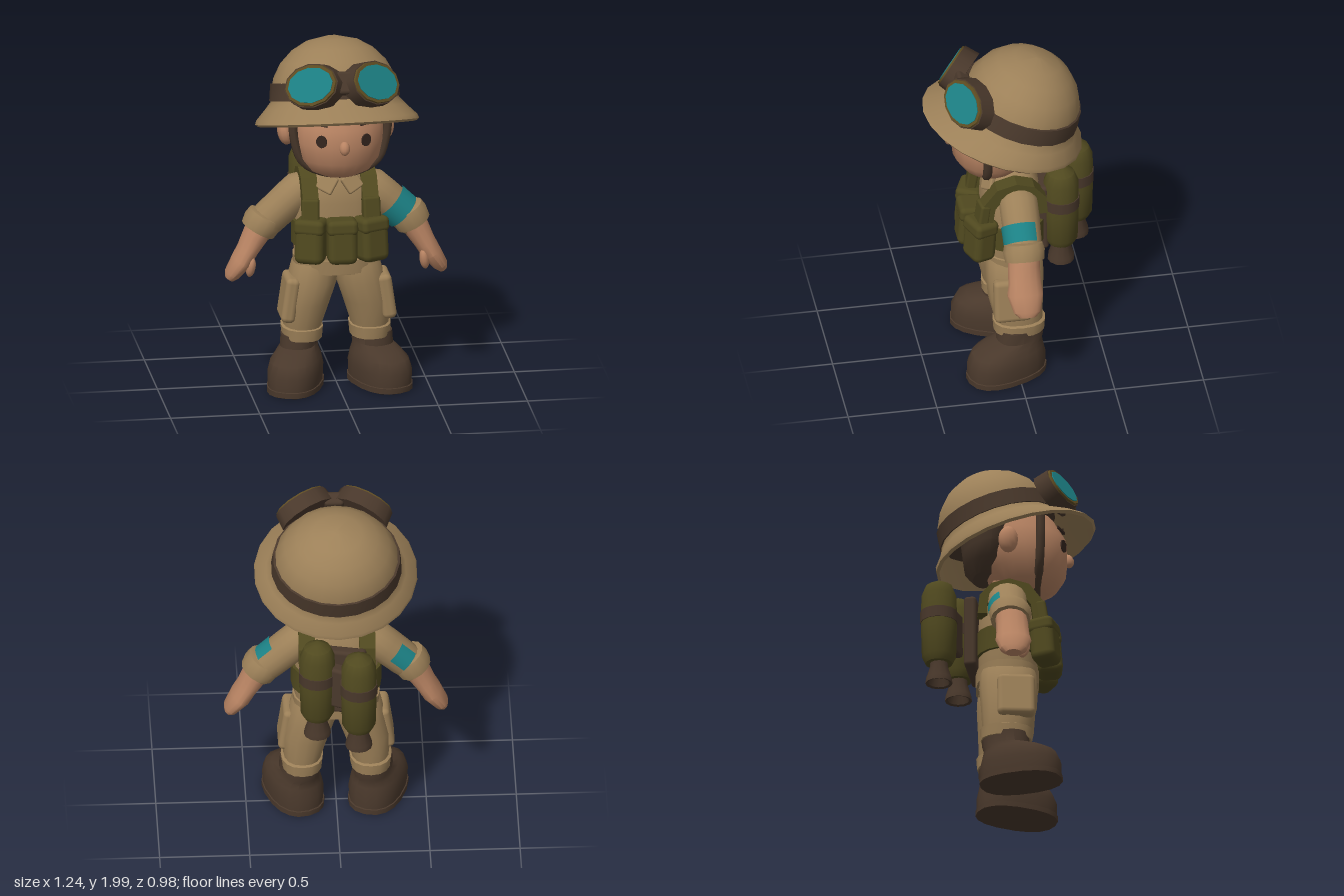
import * as THREE from 'three';
import { toCreasedNormals } from 'three/addons/utils/BufferGeometryUtils.js';
import { RoundedBoxGeometry } from 'three/addons/geometries/RoundedBoxGeometry.js';

const mat = (name, color) => {
  const m = new THREE.MeshStandardMaterial({ color });
  m.name = name;
  return m;
};

// Skin over elliptical rings [y, rx, rz, cx, cz]; p > 2 makes them squarer
function loft(rings, n = 16, p = 2) {
  const pos = [], idx = [];
  const pow = (v) => Math.sign(v) * Math.abs(v) ** (2 / p);
  for (const [y, rx, rz, cx = 0, cz = 0] of rings)
    for (let j = 0; j < n; j++) {
      const a = (j / n) * Math.PI * 2;
      pos.push(cx + rx * pow(Math.sin(a)), y, cz + rz * pow(Math.cos(a)));
    }
  for (let i = 0; i < rings.length - 1; i++)
    for (let j = 0; j < n; j++) {
      const a = i * n + j, b = i * n + ((j + 1) % n);
      idx.push(a, b, b + n, a, b + n, a + n);
    }
  // Close both ends
  const top = (rings.length - 1) * n;
  for (let j = 1; j < n - 1; j++) idx.push(0, j + 1, j, top, top + j, top + j + 1);
  const g = new THREE.BufferGeometry();
  g.setAttribute('position', new THREE.Float32BufferAttribute(pos, 3));
  g.setIndex(idx);
  return toCreasedNormals(g, 0.75);
}

export function createModel() {
  const cloth = mat('tan cloth', 0x9c8058), skin = mat('skin', 0xb98463);
  const olive = mat('olive canvas', 0x50491f), brown = mat('brown leather', 0x49382b);
  const teal = mat('teal', 0x1c8185), dark = mat('dark eye', 0x35261f);
  const rim = mat('goggle rim', 0x5f4c22);

  const model = new THREE.Group();
  model.name = 'explorer';
  const add = (parent, name, geo, material, p = [0, 0, 0], r = [0, 0, 0], s = [1, 1, 1]) => {
    const m = new THREE.Mesh(geo, material);
    m.name = name;
    m.position.set(...p);
    m.rotation.set(r[0], r[1], r[2], 'YXZ');
    m.scale.set(...s);
    parent.add(m);
  };
  const group = (name, p, r = [0, 0, 0]) => {
    const g = new THREE.Group();
    g.name = name;
    g.position.set(...p);
    g.rotation.set(r[0], r[1], r[2], 'YXZ');
    model.add(g);
    return g;
  };
  const rbox = (w, h, d, r) => new RoundedBoxGeometry(w, h, d, 2, r);
  const ball = new THREE.SphereGeometry(1, 12, 8);

  // Head, hair and face
  add(model, 'head', loft([[1.275, 0.1, 0.08, 0, 0.14], [1.31, 0.18, 0.165, 0, 0.115], [1.38, 0.235, 0.23, 0, 0.095],
    [1.48, 0.262, 0.26, 0, 0.075], [1.58, 0.262, 0.265, 0, 0.065], [1.7, 0.22, 0.22, 0, 0.04]], 20), skin);
  add(model, 'hair', loft([[1.36, 0.11, 0.06, 0, -0.13], [1.42, 0.2, 0.13, 0, -0.11], [1.5, 0.25, 0.15, 0, -0.1],
    [1.65, 0.27, 0.18, 0, -0.09], [1.72, 0.2, 0.14, 0, -0.08]]), brown);
  add(model, 'nose', ball, skin, [0, 1.485, 0.338], [-0.3, 0, 0], [0.03, 0.04, 0.032]);
  add(model, 'neck', new THREE.CylinderGeometry(0.1, 0.095, 0.2, 14), skin, [0, 1.3, 0.01]);
  for (const s of [1, -1]) {
    add(model, 'ear', ball, skin, [s * 0.285, 1.48, -0.01], [0, 0, s * -0.2], [0.042, 0.075, 0.055]);
    add(model, 'eye', new THREE.CylinderGeometry(1, 1, 0.008, 14).rotateX(Math.PI / 2), dark,
      [s * 0.125, 1.52, 0.306], [0, s * 0.5, 0], [0.032, 0.036, 1]);
    add(model, 'eyebrow', new THREE.BoxGeometry(0.085, 0.016, 0.009), dark,
      [s * 0.13, 1.615, 0.291], [-0.1, s * 0.5, s * 0.06]);
  }
  const strapPath = new THREE.CatmullRomCurve3([[-0.265, 1.66, 0.17], [-0.258, 1.5, 0.17], [-0.2, 1.35, 0.165],
    [0, 1.28, 0.16], [0.2, 1.35, 0.165], [0.258, 1.5, 0.17], [0.265, 1.66, 0.17]].map((v) => new THREE.Vector3(...v)));
  add(model, 'chinStrap', new THREE.TubeGeometry(strapPath, 28, 0.026, 7), brown);

  // Tilted helmet: inside first, then around the brim and up the dome
  const helmet = group('helmet', [0, 1.54, 0.05], [-0.307, 0, 0]);
  add(helmet, 'helmetShell', loft([[0.4, 0.1, 0.1, 0, -0.06], [0.15, 0.32, 0.31, 0, -0.06], [-0.005, 0.44, 0.45],
    [0.008, 0.455, 0.465], [0.03, 0.447, 0.45, 0, -0.01], [0.09, 0.39, 0.37, 0, -0.043],
    [0.13, 0.356, 0.337, 0, -0.056], [0.19, 0.349, 0.33, 0, -0.059], [0.26, 0.336, 0.316, 0, -0.06],
    [0.34, 0.294, 0.276, 0, -0.062], [0.41, 0.226, 0.213, 0, -0.064], [0.46, 0.14, 0.13, 0, -0.066],
    [0.485, 0.02, 0.02, 0, -0.066]], 22), cloth);
  add(helmet, 'goggleStrap', loft([[0.135, 0.34, 0.32, 0, -0.058], [0.135, 0.364, 0.344, 0, -0.058],
    [0.23, 0.354, 0.334, 0, -0.058], [0.235, 0.32, 0.3, 0, -0.058]], 22), brown);

  // Goggles lying against the dome
  const disc = (r0, r1, h) => new THREE.CylinderGeometry(r0, r1, h, 12).rotateX(Math.PI / 2);
  for (const s of [1, -1]) {
    const g = group('goggle', [s * 0.175, 1.843, 0.285], [-0.46, s * 0.56, s * -0.3]);
    add(g, 'goggleFrame', disc(1, 1.06, 0.09), brown, [0, 0, -0.03], [0, 0, 0], [0.16, 0.125, 1]);
    add(g, 'goggleRim', disc(1, 1.06, 0.028), rim, [0, 0, 0.012], [0, 0, 0], [0.15, 0.116, 1]);
    add(g, 'goggleLens', disc(1, 1, 0.009), teal, [0, 0, 0.026], [0, 0, 0], [0.133, 0.1, 1]);
  }
  add(model, 'goggleBridge', rbox(0.11, 0.13, 0.08, 0.02), brown, [0, 1.85, 0.285], [-0.46, 0, 0]);

  // Jacket
  add(model, 'jacket', loft([[0.68, 0.215, 0.16], [0.78, 0.235, 0.17], [0.95, 0.235, 0.17], [1.1, 0.235, 0.165],
    [1.19, 0.205, 0.15], [1.25, 0.14, 0.12], [1.29, 0.1, 0.09]], 20, 2.4), cloth);
  add(model, 'jacketHem', loft([[0.69, 0.2, 0.15], [0.69, 0.24, 0.175], [0.77, 0.243, 0.177], [0.785, 0.2, 0.15]], 20, 2.4), cloth);
  add(model, 'vestBelt', loft([[0.84, 0.2, 0.15], [0.84, 0.252, 0.187], [0.98, 0.252, 0.187], [0.98, 0.2, 0.15]], 20, 2.4), olive);

  // Shoulder strap outline, drawn from the side
  const outline = [[0.2, 0.98], [0.19, 1.14], [0.11, 1.245], [0, 1.275], [-0.1, 1.245], [-0.165, 1.17], [-0.175, 1.06],
    [-0.12, 1.06], [-0.12, 1.12], [-0.06, 1.19], [0, 1.21], [0.06, 1.19], [0.12, 1.12], [0.14, 0.98]];
  const strapShape = new THREE.Shape(outline.map((v) => new THREE.Vector2(...v)));
  const strapGeo = new THREE.ExtrudeGeometry(strapShape, { depth: 0.09, bevelEnabled: false })
    .translate(0, 0, -0.045).rotateY(-Math.PI / 2);
  for (const s of [1, -1]) {
    add(model, 'collarFlap', rbox(0.1, 0.1, 0.03, 0.01), cloth, [s * 0.07, 1.215, 0.135], [-0.45, s * 0.25, s * 0.45]);
    add(model, 'shoulderStrap', strapGeo, olive, [s * 0.168, 0, 0]);
    add(model, 'strapPocket', rbox(0.1, 0.13, 0.06, 0.015), olive, [s * 0.17, 1.08, 0.185], [-0.15, s * 0.15, 0]);
  }
  for (const s of [-1, 0, 1]) {
    const p = group('pouch', [s * 0.17, 0.905, s ? 0.2 : 0.23], [-0.08, s * 0.4, 0]);
    add(p, 'pouchBody', rbox(0.165, 0.25, 0.14, 0.04), olive);
    add(p, 'pouchFlap', rbox(0.172, 0.09, 0.146, 0.03), olive, [0, 0.085, 0.001]);
  }

  // Twin tanks on the back
  add(model, 'backPlate', rbox(0.32, 0.42, 0.07, 0.02), brown, [0, 0.98, -0.185], [0, -0.2, 0]);
  add(model, 'tankBracket', rbox(0.3, 0.26, 0.08, 0.02), brown, [0, 1.02, -0.3], [0, -0.45, 0]);
  for (const [x, z] of [[0.115, -0.265], [-0.11, -0.385]]) {
    const t = group('tank', [x, 0, z]);
    add(t, 'tankBody', loft([[0.79, 0.075, 0.075], [0.83, 0.095, 0.095], [1.0, 0.1, 0.1], [1.2, 0.098, 0.098],
      [1.26, 0.075, 0.075], [1.288, 0.025, 0.025]], 14), olive);
    add(t, 'tankBand', new THREE.CylinderGeometry(0.104, 0.104, 0.065, 14), brown, [0, 1.07, 0]);
    add(t, 'nozzle', loft([[0.8, 0.03, 0.03], [0.675, 0.06, 0.06], [0.67, 0.075, 0.075], [0.7, 0.072, 0.072],
      [0.77, 0.05, 0.05], [0.82, 0.052, 0.052]], 12), brown);
  }

  for (const s of [1, -1]) {
    const side = s > 0 ? 'left' : 'right';

    // Sleeve; the left band wraps front and outside, the right patch sits behind
    const upper = group(side + 'Sleeve', [s * 0.195, 1.15, -0.01], [0, 0, s * 0.82]);
    add(upper, 'sleeve', loft([[-0.34, 0.088, 0.095], [-0.25, 0.098, 0.102], [-0.1, 0.102, 0.108], [0, 0.1, 0.108],
      [0.07, 0.06, 0.075]]), cloth);
    const [start, sweep] = s > 0 ? [-1.3, 3.5] : [Math.PI * 0.98, Math.PI * 0.36];
    add(upper, 'armband', new THREE.CylinderGeometry(0.109, 0.107, 0.105, 16, 1, true, start, sweep), teal,
      [0, -0.195, 0], [0, 0, 0], [1, 1, 1.04]);

    // Rolled cuff, forearm and hand
    const lower = group(side + 'Forearm', [s * 0.41, 0.965, -0.005], [0, 0, s * 0.5]);
    add(lower, 'cuff', loft([[-0.05, 0.07, 0.08], [-0.055, 0.1, 0.11], [0, 0.108, 0.118], [0.04, 0.1, 0.108],
      [0.05, 0.07, 0.08]], 14), cloth);
    add(lower, 'forearmAndHand', loft([[-0.375, 0.025, 0.045, s * 0.01, 0.01], [-0.345, 0.042, 0.075, s * 0.01, 0.01],
      [-0.25, 0.058, 0.1, 0, 0.012], [-0.18, 0.06, 0.092, 0, 0.01], [-0.09, 0.072, 0.09, 0, 0.008],
      [0, 0.08, 0.09]], 14), skin);
    add(lower, 'thumb', ball, skin, [s * -0.05, -0.25, 0.07], [0.2, 0, s * -0.35], [0.027, 0.06, 0.035]);

    // Trouser leg
    add(model, side + 'TrouserLeg', loft([[0.3, 0.1, 0.125, s * 0.19, -0.015], [0.37, 0.108, 0.137, s * 0.187, -0.012],
      [0.5, 0.13, 0.155, s * 0.168, 0], [0.62, 0.137, 0.163, s * 0.135, 0], [0.72, 0.127, 0.158, s * 0.118, 0],
      [0.78, 0.1, 0.14, s * 0.1, 0]], 16, 2.3), cloth);
    add(model, side + 'TrouserCuff', loft([[0.285, 0.08, 0.1, s * 0.19, -0.015], [0.285, 0.112, 0.143, s * 0.19, -0.015],
      [0.35, 0.118, 0.148, s * 0.19, -0.015], [0.365, 0.09, 0.11, s * 0.19, -0.015]], 16, 2.3), cloth);
    add(model, side + 'CargoPocket', rbox(0.08, 0.26, 0.21, 0.03), cloth, [s * 0.27, 0.53, 0.035], [0, 0, s * 0.14]);

    // Boot, toe turned outward
    const boot = group(side + 'Boot', [s * 0.205, 0, -0.02], [0, s * 0.36, 0]);
    add(boot, 'bootUpper', loft([[0.03, 0.143, 0.228, 0, 0.09], [0.12, 0.148, 0.228, 0, 0.09],
      [0.18, 0.135, 0.208, 0, 0.083], [0.213, 0.115, 0.175, 0, 0.055], [0.24, 0.1, 0.135, 0, 0.005],
      [0.31, 0.098, 0.13]], 18, 2.4), brown);
    add(boot, 'bootSole', loft([[0.01, 0.14, 0.225, 0, 0.09], [0.015, 0.15, 0.235, 0, 0.09],
      [0.045, 0.15, 0.235, 0, 0.09], [0.05, 0.135, 0.22, 0, 0.09]], 18, 2.4), brown);
  }
  return model;
}
